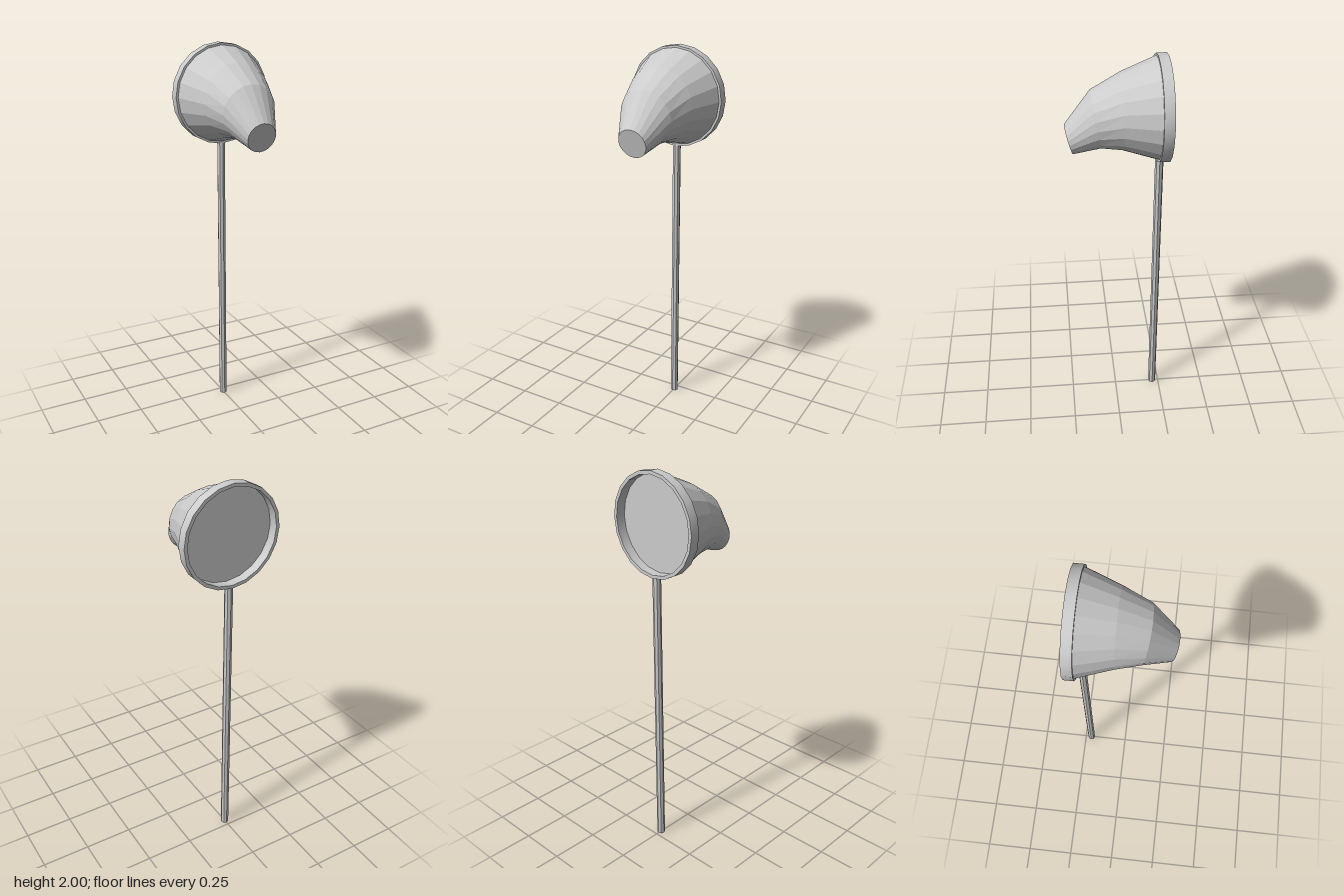
import * as THREE from 'three';
import { toCreasedNormals } from 'three/addons/utils/BufferGeometryUtils.js';

const SIDES = 20;

// Skin closed round sections, each given by its top and bottom point [z, y]
function loftGeometry(sections) {
  const positions = [];
  const rings = sections.map(([top, bottom]) => {
    const centre = new THREE.Vector3(0, (top[1] + bottom[1]) / 2, (top[0] + bottom[0]) / 2);
    const up = new THREE.Vector3(0, top[1], top[0]).sub(centre);
    const radius = up.length();
    const points = [];
    for (let j = 0; j < SIDES; j++) {
      const a = (j / SIDES) * Math.PI * 2;
      const p = centre.clone().addScaledVector(up, Math.cos(a));
      p.x = radius * Math.sin(a);
      points.push(p);
    }
    return { centre, points };
  });
  const tri = (...corners) => corners.forEach((p) => positions.push(p.x, p.y, p.z));
  const first = rings[0];
  const last = rings[rings.length - 1];
  for (let j = 0; j < SIDES; j++) {
    const k = (j + 1) % SIDES;
    for (let i = 0; i < rings.length - 1; i++) {
      const back = rings[i].points;
      const front = rings[i + 1].points;
      tri(back[j], front[j], front[k]);
      tri(back[j], front[k], back[k]);
    }
    tri(first.centre, first.points[j], first.points[k]);
    tri(last.centre, last.points[k], last.points[j]);
  }
  const geometry = new THREE.BufferGeometry();
  geometry.setAttribute('position', new THREE.Float32BufferAttribute(positions, 3));
  geometry.computeVertexNormals();
  return geometry;
}

export function createModel() {
  const group = new THREE.Group();
  const flat = new THREE.MeshStandardMaterial({ color: 0xcccccc, flatShading: true });
  const smooth = new THREE.MeshStandardMaterial({ color: 0xcccccc });
  const add = (name, geometry, material) => {
    const mesh = new THREE.Mesh(geometry, material);
    mesh.name = name;
    group.add(mesh);
    return mesh;
  };

  // Drooping, tapered head, closed at both ends
  add('head', loftGeometry([
    [[-0.195, 1.99], [-0.195, 1.503]],
    [[-0.028, 1.923], [-0.028, 1.554]],
    [[0.119, 1.841], [0.072, 1.564]],
    [[0.244, 1.677], [0.204, 1.532]],
  ]), flat);

  // Thin rim standing behind the head, leaving a shallow recess
  const profile = [[0.238, -0.025], [0.255, -0.025], [0.255, 0.025], [0.238, 0.025], [0.238, -0.025]]
    .map(([r, y]) => new THREE.Vector2(r, y));
  const rimGeometry = new THREE.LatheGeometry(profile, SIDES).rotateX(-Math.PI / 2);
  add('rim', toCreasedNormals(rimGeometry, 0.6), smooth).position.set(0, 1.746, -0.22);

  // Straight pole under the rim
  add('pole', new THREE.CylinderGeometry(0.021, 0.021, 1.5, 8), flat).position.set(0, 0.75, -0.215);

  return group;
}
